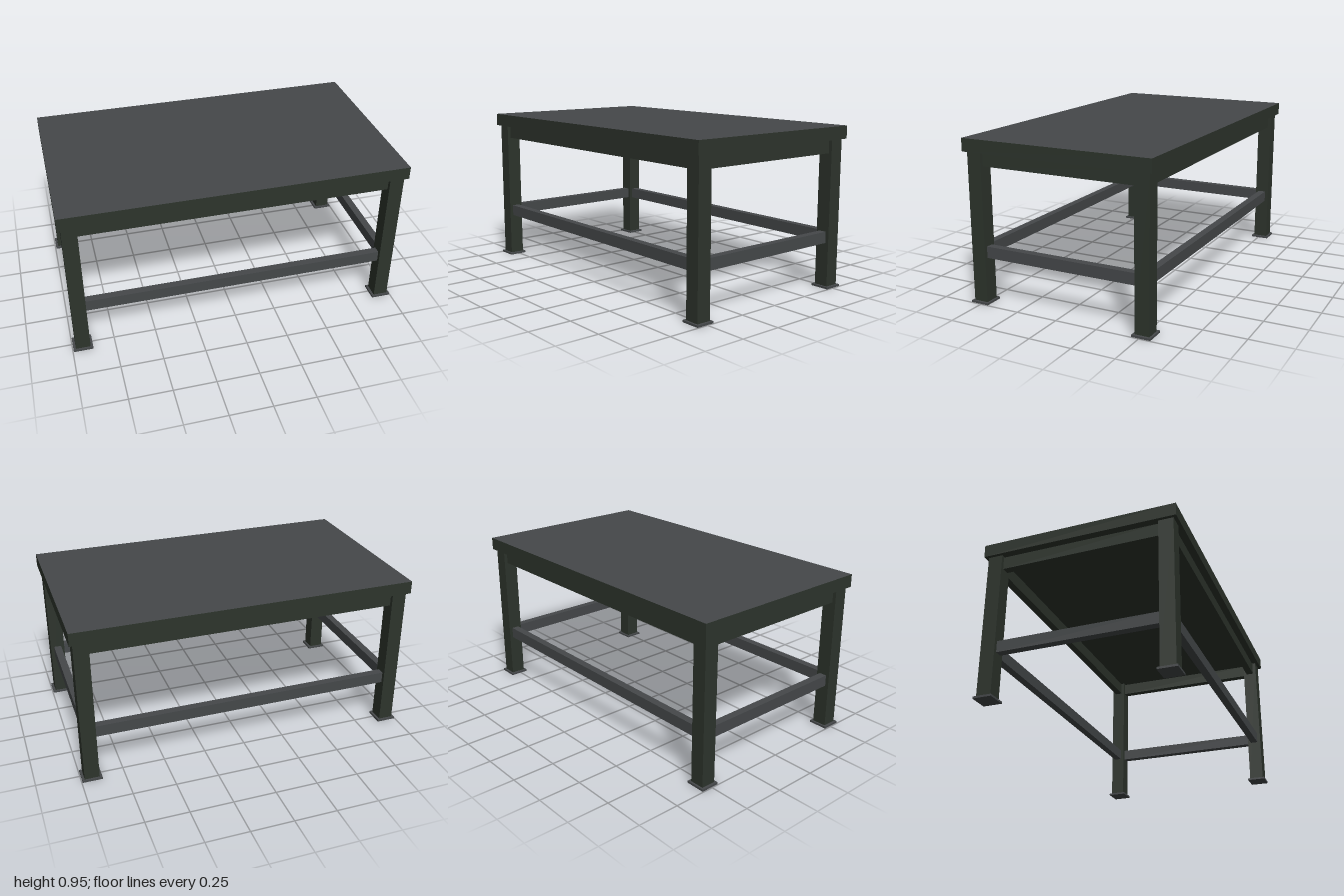
import * as THREE from 'three';

export function createModel() {
  const group = new THREE.Group();
  group.name = 'workTable';

  const green = new THREE.MeshStandardMaterial({ name: 'dark green paint', color: 0x2d342c });
  const grey = new THREE.MeshStandardMaterial({ name: 'dark grey steel', color: 0x45484a });

  // Box given by its size, centre in x and z, and bottom height
  function box(name, [w, h, d], [x, bottom, z], material) {
    const mesh = new THREE.Mesh(new THREE.BoxGeometry(w, h, d), material);
    mesh.name = name;
    mesh.position.set(x, bottom + h / 2, z);
    group.add(mesh);
  }

  const legX = 0.938, legZ = 0.51, legW = 0.086;
  const spanX = 2 * legX - legW, spanZ = 2 * legZ - legW;
  const barW = 0.045;

  // Table top: green slab with a grey working surface
  box('tableTop', [2, 0.075, 1.146], [0, 0.875, 0], [green, green, grey, green, green, green]);

  // Legs on foot plates
  for (const sx of [-1, 1]) {
    for (const sz of [-1, 1]) {
      box('leg', [legW, 0.863, legW], [sx * legX, 0.012, sz * legZ], green);
      box('footPlate', [0.115, 0.012, 0.11], [sx * legX, 0, sz * legZ], grey);
    }
  }

  // Upper aprons and lower stretchers between the legs
  for (const s of [-1, 1]) {
    box('longApron', [spanX, 0.076, barW], [0, 0.795, s * legZ], green);
    box('shortApron', [barW, 0.076, spanZ], [s * legX, 0.795, 0], green);
    box('longStretcher', [spanX, 0.067, barW], [0, 0.27, s * legZ], grey);
    box('shortStretcher', [barW, 0.067, spanZ], [s * legX, 0.27, 0], grey);
  }

  return group;
}
